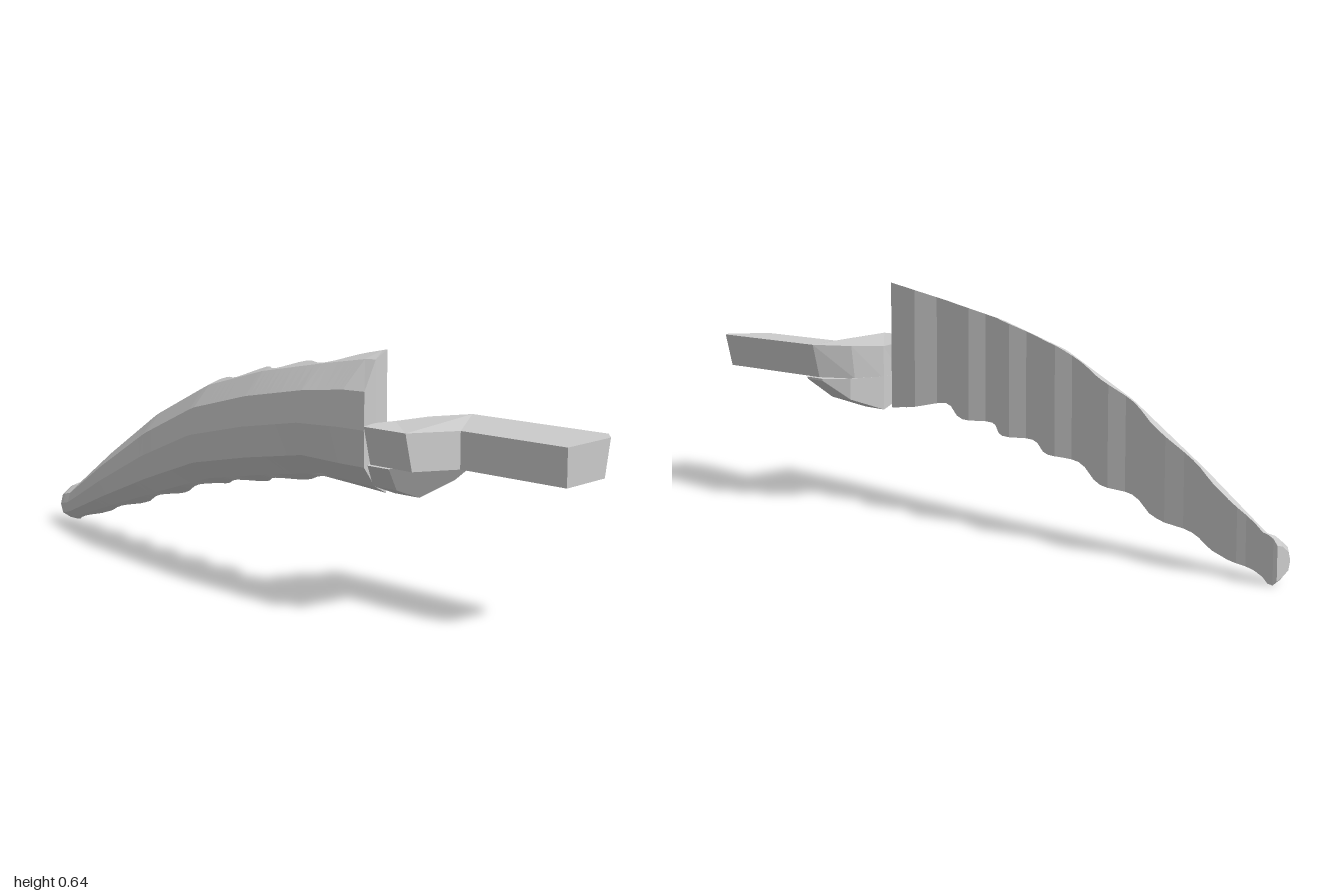
import * as THREE from 'three';

const material = new THREE.MeshStandardMaterial({ color: 0xcccccc, flatShading: true });

// Skin a row of equal-length rings; ends are closed with strips across the ring.
function loft(rings) {
  const n = rings[0].length, index = [];
  for (let i = 0; i < rings.length - 1; i++) {
    for (let j = 0; j < n; j++) {
      const a = i * n + j, b = i * n + (j + 1) % n;
      index.push(a, a + n, b, b, a + n, b + n);
    }
  }
  const last = (rings.length - 1) * n;
  for (let j = 0; j < Math.floor((n - 1) / 2); j++) {
    const k = n - 1 - j;
    index.push(j, j + 1, k, j + 1, k - 1, k);
    index.push(last + j, last + k, last + j + 1, last + j + 1, last + k, last + k - 1);
  }
  const g = new THREE.BufferGeometry();
  g.setAttribute('position', new THREE.Float32BufferAttribute(rings.flat(2), 3));
  g.setIndex(index);
  const flat = g.toNonIndexed();
  flat.computeVertexNormals();
  return flat;
}

// Interpolate column c of a table sorted by falling z.
function sample(table, z, c, ease = t => t) {
  let i = 0;
  while (i < table.length - 2 && z < table[i + 1][0]) i++;
  const [p, q] = [table[i], table[i + 1]];
  const t = THREE.MathUtils.clamp((z - p[0]) / (q[0] - p[0]), 0, 1);
  return p[c] + (q[c] - p[c]) * ease(t);
}

// Blade: half-octagon section [outward, up], tapering and drooping to the back
const SECTION = [[0, 1], [0.41, 0.89], [0.875, 0.5], [1, 0], [0.875, -0.52], [0.41, -0.85], [0, -1]];
// z, top y, bottom y, outer x
const BODY = [
  [0.43, 0.645, 0.275, -0.19], [0.25, 0.617, 0.287, -0.18], [0, 0.577, 0.25, -0.16],
  [-0.25, 0.515, 0.21, -0.145], [-0.5, 0.405, 0.14, -0.128], [-0.75, 0.255, 0.07, -0.11],
  [-0.95, 0.125, 0.012, -0.09],
];
// z and x of the crests and hollows of the scalloped inner face
const SCALLOPS = [
  [0.43, -0.03], [0.37, -0.036], [0.25, -0.083], [0.13, -0.04], [0.04, -0.072], [-0.04, -0.036],
  [-0.13, -0.067], [-0.22, -0.034], [-0.31, -0.062], [-0.42, -0.03], [-0.51, -0.056],
  [-0.62, -0.025], [-0.72, -0.046], [-0.83, -0.021], [-0.92, -0.042], [-0.95, -0.038],
];

function bladeRing(z, top, bottom, outer, inner) {
  const base = -0.027, w = base - outer;
  const cut = Math.max(0, (base - inner) / w);
  const mid = (top + bottom) / 2, h = (top - bottom) / 2;
  return SECTION.map(([f, v]) => {
    const out = Math.max(f, cut);
    // where the hollow cuts past a corner, slide it along the curved back
    let up = v;
    if (out > f) {
      const s = Math.sign(v);
      up = s * (out < 0.41 ? 1 - 0.11 * out / 0.41 : 0.89 - 0.39 * (out - 0.41) / 0.465);
    }
    return [base - w * out, mid + h * up, z];
  });
}

function bladeGeometry() {
  const rings = [];
  const wave = t => (1 - Math.cos(Math.PI * t)) / 2;
  const at = z => bladeRing(z, sample(BODY, z, 1), sample(BODY, z, 2),
    sample(BODY, z, 3), sample(SCALLOPS, z, 1, wave));
  // front end wraps the curved back of the grip
  const endZ = [0.43, 0.455, 0.495, 0.515, 0.495, 0.455, 0.43];
  rings.push(at(0.43).map(([x, y], i) => [x, y, endZ[i]]));
  for (let i = 0; i < SCALLOPS.length - 1; i++) {
    for (let k = 1; k <= 4; k++) {
      rings.push(at(THREE.MathUtils.lerp(SCALLOPS[i][0], SCALLOPS[i + 1][0], k / 4)));
    }
  }
  // flared tip
  rings.push(bladeRing(-0.975, 0.122, 0.004, -0.092, -0.027));
  rings.push(bladeRing(-0.99, 0.115, 0.002, -0.09, -0.027));
  rings.push(bladeRing(-1, 0.1, 0.012, -0.08, -0.03));
  return loft(rings);
}

// Grip plate: stepped outline with a curved back, sides leaning in underneath
function gripGeometry() {
  const outline = [
    [-0.19, 0.515], [-0.1, 0.455], [0, 0.43], [0.1, 0.455], [0.19, 0.52],
    [0.19, 0.965], [0.155, 1], [0, 1], [0, 0.66], [-0.19, 0.66],
  ];
  const shape = new THREE.Shape(outline.map(([x, z]) => new THREE.Vector2(x, -z)));
  const g = new THREE.ExtrudeGeometry(shape, { depth: 1, bevelEnabled: false });
  g.rotateX(-Math.PI / 2);
  const p = g.attributes.position;
  for (let i = 0; i < p.count; i++) {
    const x = p.getX(i), z = p.getZ(i), upper = p.getY(i) > 0.5;
    const crown = 0.011 * Math.abs(x) / 0.19 - 0.008 * Math.max(0, z - 0.5);
    p.setXYZ(i, upper ? x : x * 0.88, (upper ? 0.459 : 0.363) + crown, z);
  }
  g.computeVertexNormals();
  return g;
}

// Collar: lower half of an octagonal barrel with a sloping front
function collarGeometry() {
  const stations = [
    [0.167, 0.364, 0.505], [0.105, 0.309, 0.455], [0, 0.272, 0.43],
    [-0.1, 0.305, 0.455], [-0.167, 0.37, 0.505],
  ];
  return loft(stations.map(([x, y, back]) => {
    const top = 0.37, front = 0.58 - 0.62 * (top - y);
    return [[x, top, back], [x, top, 0.58], [x, y, front], [x, y, back]];
  }));
}

export function createModel() {
  const model = new THREE.Group();
  model.name = 'scallopedBlade';
  const parts = { blade: bladeGeometry(), grip: gripGeometry(), collar: collarGeometry() };
  for (const [name, geometry] of Object.entries(parts)) {
    const mesh = new THREE.Mesh(geometry, material);
    mesh.name = name;
    model.add(mesh);
  }
  return model;
}
